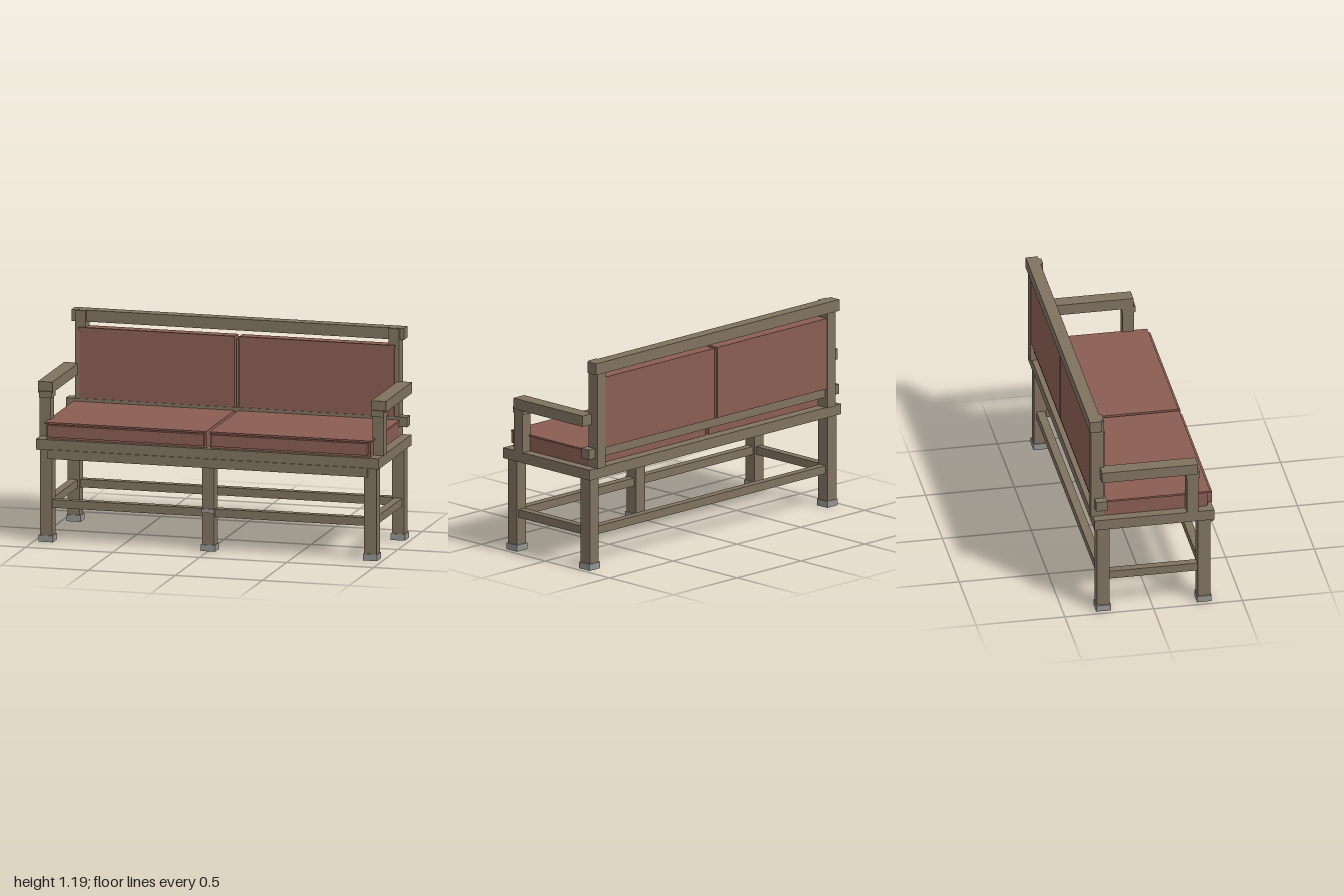
import * as THREE from 'three';

export function createModel() {
  const model = new THREE.Group();
  model.name = 'bench';
  const material = (name, color) => {
    const m = new THREE.MeshStandardMaterial({ color });
    m.name = name;
    return m;
  };
  const wood = material('weathered wood', 0x807260);
  const fabric = material('red brown upholstery', 0x8a5d53);
  const metal = material('grey metal', 0x949492);

  // Box given by its limits on each axis
  const box = (name, mat, [x0, x1], [y0, y1], [z0, z1]) => {
    const mesh = new THREE.Mesh(new THREE.BoxGeometry(x1 - x0, y1 - y0, z1 - z0), mat);
    mesh.position.set((x0 + x1) / 2, (y0 + y1) / 2, (z0 + z1) / 2);
    mesh.name = name;
    model.add(mesh);
  };
  // The same box on both sides of x = 0
  const pair = (name, mat, [x0, x1], y, z) => {
    box(name + 'Left', mat, [x0, x1], y, z);
    box(name + 'Right', mat, [-x1, -x0], y, z);
  };

  // Hollow metal foot sleeve
  const square = (r) => [[-r, -r], [r, -r], [r, r], [-r, r]].map(([x, y]) => new THREE.Vector2(x, y));
  const outline = new THREE.Shape(square(0.041));
  outline.holes.push(new THREE.Path(square(0.015).reverse()));
  const footGeometry = new THREE.ExtrudeGeometry(outline, { depth: 0.036, bevelEnabled: false });
  footGeometry.rotateX(-Math.PI / 2);

  // Legs with feet: three in front, two behind
  for (const [x, z] of [[-0.932, 0.291], [0, 0.291], [0.932, 0.291], [-0.932, -0.277], [0.932, -0.277]]) {
    box('leg', wood, [x - 0.035, x + 0.035], [0.02, 0.53], [z - 0.036, z + 0.036]);
    const foot = new THREE.Mesh(footGeometry, metal);
    foot.position.set(x, 0, z);
    foot.name = 'foot';
    model.add(foot);
  }

  // Stretchers and the middle leg's front plate
  box('frontStretcher', wood, [-0.9, 0.9], [0.192, 0.238], [0.268, 0.314]);
  box('backStretcher', wood, [-0.9, 0.9], [0.192, 0.238], [-0.3, -0.254]);
  pair('sideStretcher', wood, [0.909, 0.955], [0.192, 0.238], [-0.245, 0.26]);
  box('legPlate', metal, [-0.037, 0.037], [0.217, 0.239], [0.326, 0.335]);

  // Solid seat and front apron
  box('seat', wood, [-0.985, 0.985], [0.522, 0.582], [-0.33, 0.345]);
  box('apron', wood, [-0.92, 0.92], [0.475, 0.527], [0.322, 0.352]);

  // Seat cushions with a top lip and raised front boxing
  pair('seatCushion', fabric, [0.012, 0.93], [0.58, 0.672], [-0.268, 0.318]);
  pair('seatCushionLip', fabric, [0.01, 0.938], [0.667, 0.677], [-0.268, 0.331]);
  pair('seatCushionFront', fabric, [0.022, 0.919], [0.597, 0.663], [0.315, 0.345]);

  // Backrest frame
  pair('backPost', wood, [0.87, 0.932], [0.58, 1.189], [-0.34, -0.267]);
  box('topRail', wood, [-0.955, 0.955], [1.125, 1.19], [-0.35, -0.282]);
  box('lowerBackRail', wood, [-0.98, 0.98], [0.638, 0.694], [-0.32, -0.256]);
  box('backDivider', wood, [-0.006, 0.006], [0.69, 1.08], [-0.334, -0.28]);

  // Back cushions with a slim top welt
  pair('backCushion', fabric, [0.012, 0.905], [0.69, 1.094], [-0.335, -0.26]);
  pair('backCushionWelt', fabric, [0.012, 0.91], [1.083, 1.096], [-0.27, -0.256]);

  // Arms, arm posts and collars
  pair('armRest', wood, [0.917, 1], [0.826, 0.888], [-0.29, 0.25]);
  pair('armPost', wood, [0.925, 0.989], [0.58, 0.83], [0.191, 0.255]);
  pair('armCollar', wood, [0.918, 0.991], [0.8, 0.836], [0.185, 0.263]);

  return model;
}
